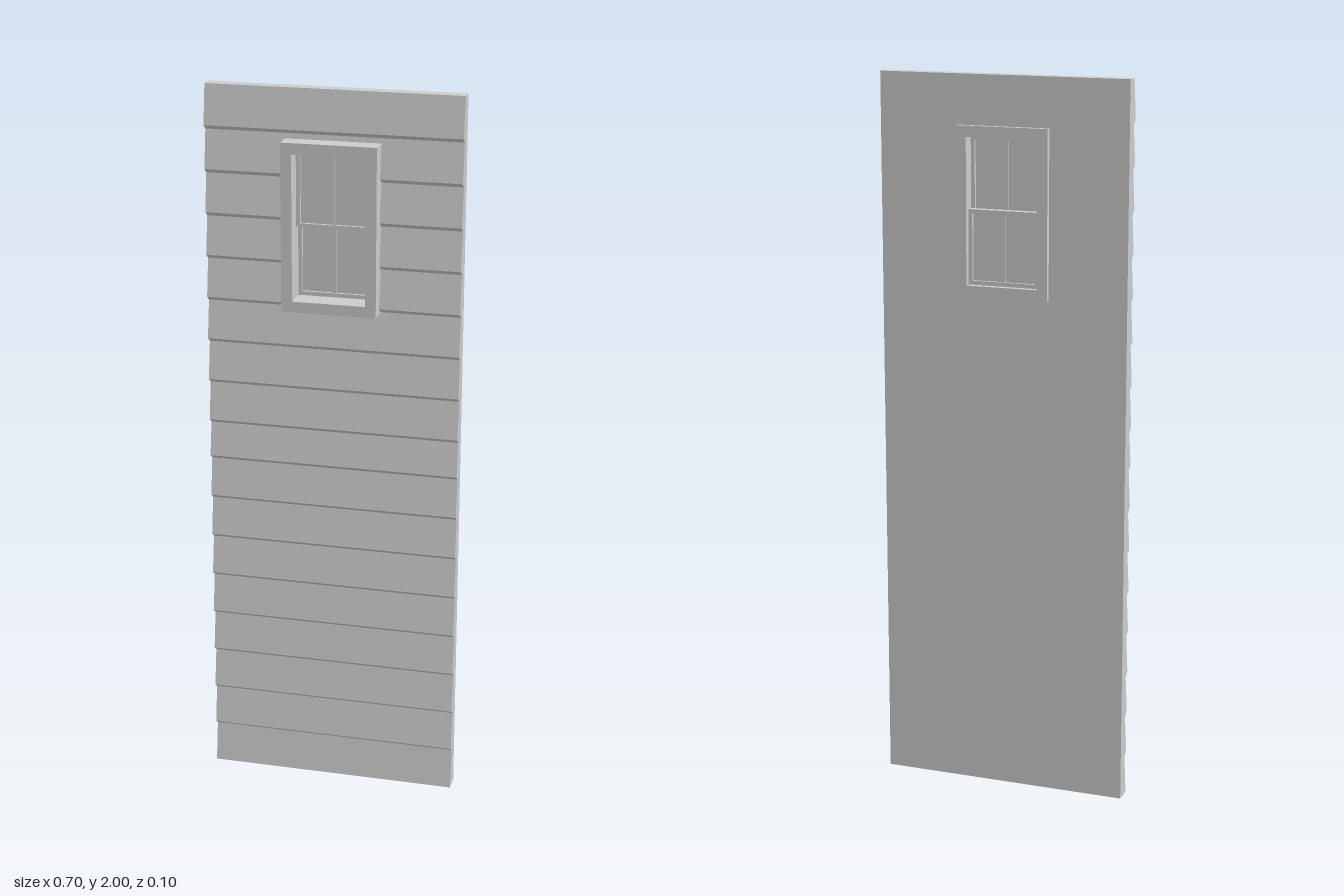
import * as THREE from 'three';

const material = new THREE.MeshStandardMaterial({ color: 0xcccccc, flatShading: true });

const WALL_W = 0.7, WALL_H = 2, WALL_BACK = -0.038;
const BOARD_TOP_Z = -0.003, BOARD_LIP_Z = 0.013, LIP = 0.006;
const WIN = { w: 0.26, bottom: 1.405, top: 1.865, depth: 0.104, border: 0.03 };

// Heights of the seams between the 17 clapboards
const seams = [];
for (let i = 1; i <= 16; i++) seams.push(i < 9 ? 0.119 * i : 1.059 + 0.118 * (i - 9));

// Sawtooth front outline as [z, y], from the ground up
const outline = [[BOARD_LIP_Z, 0]];
for (const y of seams) outline.push([BOARD_TOP_Z, y - LIP], [BOARD_LIP_Z, y + LIP]);
outline.push([BOARD_TOP_Z, WALL_H]);

function frontZ(y) {
  for (let i = 1; i < outline.length; i++) {
    const [z0, y0] = outline[i - 1], [z1, y1] = outline[i];
    if (y <= y1) return z0 + (z1 - z0) * (y - y0) / (y1 - y0);
  }
  return BOARD_TOP_Z;
}

function add(group, name, geometry, x = 0, y = 0, z = 0) {
  const mesh = new THREE.Mesh(geometry, material);
  mesh.name = name;
  mesh.position.set(x, y, z);
  group.add(mesh);
}

// Piece of sided wall between two heights and two sides
function addWall(group, name, x0, x1, y0, y1) {
  const shape = new THREE.Shape([
    [WALL_BACK, y0], [frontZ(y0), y0],
    ...outline.filter(([, y]) => y > y0 && y < y1),
    [frontZ(y1), y1], [WALL_BACK, y1],
  ].map(([z, y]) => new THREE.Vector2(z, y)));
  const geometry = new THREE.ExtrudeGeometry(shape, { depth: x1 - x0, bevelEnabled: false });
  geometry.rotateY(-Math.PI / 2);
  add(group, name, geometry, x1);
}

// Rectangular frame with a rectangular opening, centred in depth
function frameGeometry(w, h, border, depth) {
  const rect = (a, b) => [[-a, -b], [a, -b], [a, b], [-a, b]].map(p => new THREE.Vector2(...p));
  const shape = new THREE.Shape(rect(w / 2, h / 2));
  shape.holes.push(new THREE.Path(rect(w / 2 - border, h / 2 - border)));
  return new THREE.ExtrudeGeometry(shape, { depth, bevelEnabled: false }).translate(0, 0, -depth / 2);
}

// Sash with rails, a centre bar and a glass pane
function makeSash(name, w, y0, y1, z) {
  const sash = new THREE.Group();
  const h = y1 - y0, rail = 0.011;
  sash.name = name;
  sash.position.set(0, (y0 + y1) / 2, z);
  add(sash, 'sashFrame', frameGeometry(w, h, rail, 0.02));
  add(sash, 'centreBar', new THREE.BoxGeometry(0.01, h - 2 * rail, 0.014));
  add(sash, 'pane', new THREE.BoxGeometry(w - 2 * rail, h - 2 * rail, 0.004));
  return sash;
}

export function createModel() {
  const model = new THREE.Group();
  model.name = 'sidedWallPanel';

  // Wall around the window hole, whose edge is hidden inside the frame
  const wall = new THREE.Group();
  wall.name = 'wall';
  const edge = WALL_W / 2, hole = 0.115, y0 = 1.42, y1 = 1.85;
  addWall(wall, 'lowerSiding', -edge, edge, 0, y0);
  addWall(wall, 'rightSiding', -edge, -hole, y0, y1);
  addWall(wall, 'leftSiding', hole, edge, y0, y1);
  addWall(wall, 'upperSiding', -edge, edge, y1, WALL_H);
  model.add(wall);

  // Sash window: upper sash forward, lower sash behind it
  const win = new THREE.Group();
  win.name = 'window';
  const { w, bottom, top, depth, border } = WIN;
  add(win, 'windowFrame', frameGeometry(w, top - bottom, border, depth), 0, (bottom + top) / 2);
  const sashW = w - 2 * border, mid = 1.634;
  win.add(makeSash('upperSash', sashW, mid - 0.006, top - border, -0.005));
  win.add(makeSash('lowerSash', sashW, bottom + border, mid + 0.006, -0.025));
  model.add(win);

  return model;
}
